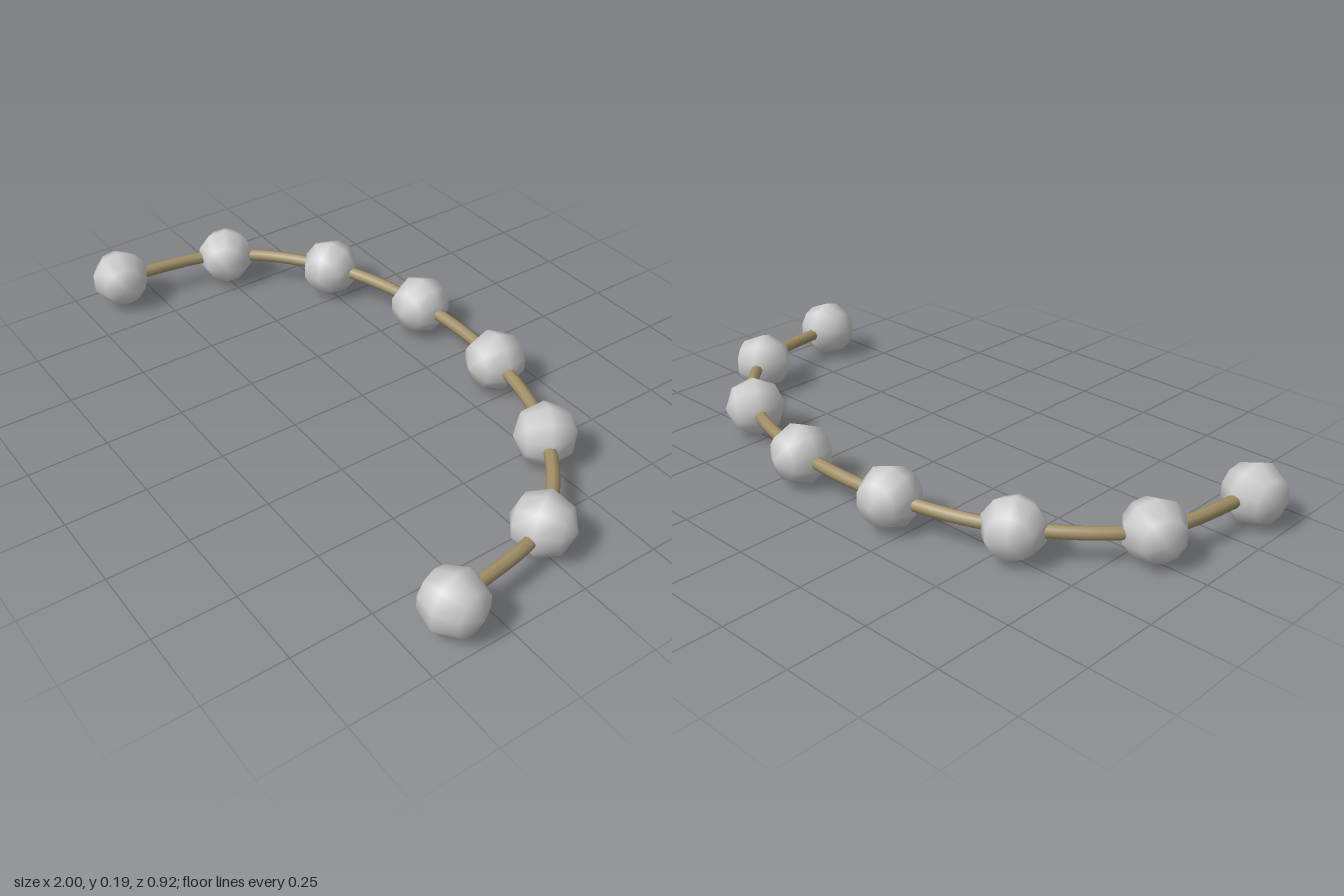
import * as THREE from 'three';

export function createModel() {
  const model = new THREE.Group();
  model.name = 'beadedNecklace';
  const beadMaterial = new THREE.MeshStandardMaterial({ color: 0xcccccc });
  const cordMaterial = new THREE.MeshStandardMaterial({ color: 0xa08f66 });

  // Bead centres on the left half, from the open end to the back, then mirrored
  const height = 0.096;
  const half = [[0.905, 0.364], [0.825, -0.002], [0.55, -0.255], [0.19, -0.368]];
  const points = [
    ...half.map(([x, z]) => new THREE.Vector3(x, height, z)),
    ...half.slice().reverse().map(([x, z]) => new THREE.Vector3(-x, height, z)),
  ];
  const path = new THREE.CatmullRomCurve3(points, false, 'centripetal');

  // Cord threaded through all the beads
  const cord = new THREE.Mesh(new THREE.TubeGeometry(path, 56, 0.02, 8, false), cordMaterial);
  cord.name = 'cord';
  model.add(cord);

  // Low-sided round beads, each with its poles pointing across the cord
  const beadGeometry = new THREE.SphereGeometry(0.0955, 10, 4);
  const up = new THREE.Vector3(0, 1, 0);
  points.forEach((point, i) => {
    const tangent = path.getTangent(i / (points.length - 1));
    const across = new THREE.Vector3().crossVectors(up, tangent).normalize();
    const along = new THREE.Vector3().crossVectors(up, across);
    const bead = new THREE.Mesh(beadGeometry, beadMaterial);
    bead.name = `bead${i + 1}`;
    bead.quaternion.setFromRotationMatrix(new THREE.Matrix4().makeBasis(up, across, along));
    bead.position.copy(point);
    model.add(bead);
  });

  return model;
}
